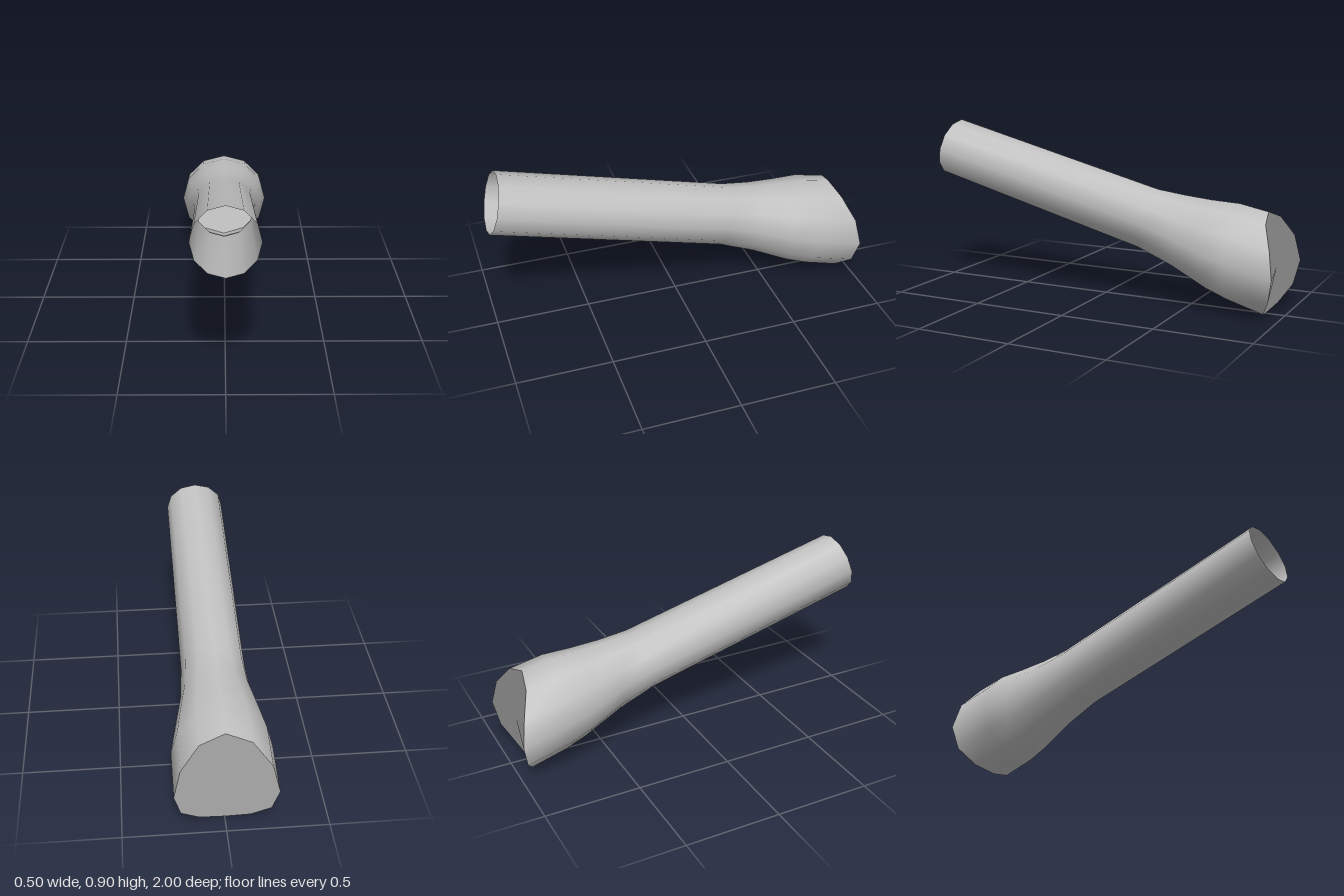
import * as THREE from 'three';

const SIDES = 12;

// Each section: top [z, y], bottom [z, y], half width, backward sweep of the sides
const SECTIONS = [
  { top: [0.92, 0.903], bottom: [1.0, 0.593], width: 0.161, sweep: 0 },
  { top: [-0.3, 0.59], bottom: [-0.22, 0.27], width: 0.165, sweep: 0 },
  { top: [-0.45, 0.571], bottom: [-0.42, 0.188], width: 0.18, sweep: 0 },
  { top: [-0.6, 0.557], bottom: [-0.62, 0.09], width: 0.22, sweep: 0 },
  { top: [-0.75, 0.55], bottom: [-0.73, 0.05], width: 0.248, sweep: 0.01 },
  { top: [-0.9, 0.52], bottom: [-0.9, 0.0], width: 0.25, sweep: 0.1 },
];

// Ring of points, starting at the top and turning towards +x
function ring({ top, bottom, width, sweep }) {
  return Array.from({ length: SIDES }, (_, j) => {
    const a = (j / SIDES) * Math.PI * 2;
    const s = Math.sin(a), t = (1 + Math.cos(a)) / 2;
    const back = sweep * s * s;
    return [
      width * s,
      THREE.MathUtils.lerp(bottom[1], top[1], t) - back * 0.26,
      THREE.MathUtils.lerp(bottom[0], top[0], t) - back,
    ];
  });
}

function makeGeometry(points, index) {
  const g = new THREE.BufferGeometry();
  g.setAttribute('position', new THREE.Float32BufferAttribute(points.flat(), 3));
  g.setIndex(index);
  g.computeVertexNormals();
  return g;
}

export function createModel() {
  const group = new THREE.Group();
  const grey = new THREE.MeshStandardMaterial({ color: 0xc0c0c0, side: THREE.DoubleSide });
  grey.name = 'light grey';

  // Open tube that flares towards the back
  const rings = SECTIONS.map(ring);
  const index = [];
  for (let k = 0; k < rings.length - 1; k++) {
    for (let j = 0; j < SIDES; j++) {
      const n = (j + 1) % SIDES;
      const a = k * SIDES + j, b = k * SIDES + n;
      const c = a + SIDES, d = b + SIDES;
      index.push(a, b, c, b, d, c);
    }
  }
  const tube = new THREE.Mesh(makeGeometry(rings.flat(), index), grey);
  tube.name = 'flaredTube';
  group.add(tube);

  // End cap fanned from its centre, shaded as one even face
  const fan = [];
  for (let j = 0; j < SIDES; j++) fan.push(SIDES, j, (j + 1) % SIDES);
  const capGeometry = makeGeometry([...rings[rings.length - 1], [0, 0.247, -0.95]], fan);
  const normals = capGeometry.attributes.normal;
  for (let i = 0; i < normals.count; i++) normals.setXYZ(i, 0, -0.25, -0.968);
  const cap = new THREE.Mesh(capGeometry, grey);
  cap.name = 'endCap';
  group.add(cap);

  return group;
}
